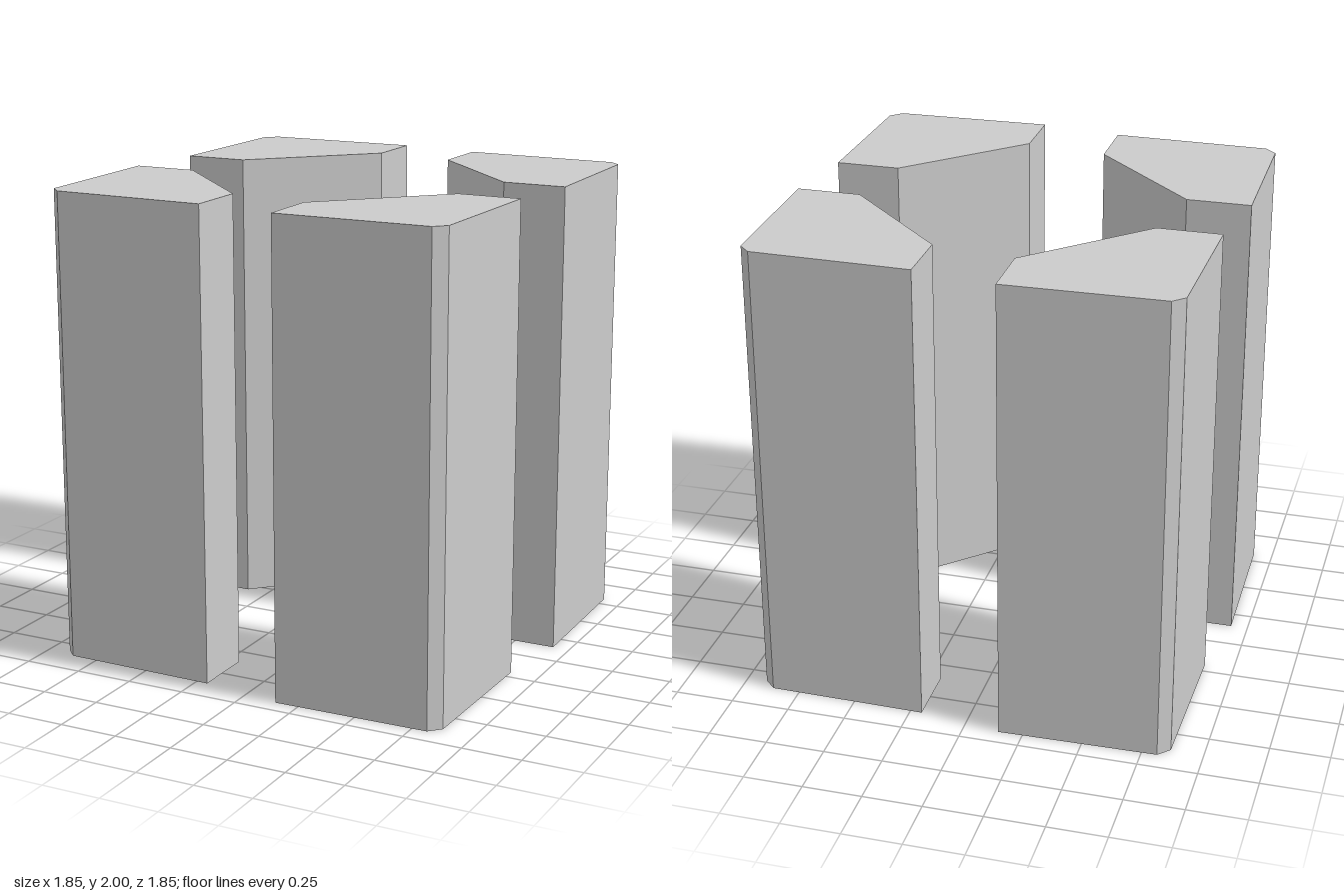
import * as THREE from 'three';

const HEIGHT = 2;

// Pillar footprint as (x, z): chamfered outer corner, diagonal inner face
const FOOTPRINT = [
  [0.605, 0.2], [0.875, 0.2], [0.863, 0.867],
  [0.815, 0.915], [0.148, 0.927], [0.148, 0.657],
];

export function createModel() {
  const model = new THREE.Group();
  model.name = 'pillarCluster';
  const material = new THREE.MeshStandardMaterial({ color: 0xcccccc, flatShading: true });

  // Extrude the footprint and stand it upright on the ground
  const shape = new THREE.Shape(FOOTPRINT.map(([x, z]) => new THREE.Vector2(x, -z)));
  const geometry = new THREE.ExtrudeGeometry(shape, { depth: HEIGHT, bevelEnabled: false });
  geometry.rotateX(-Math.PI / 2);

  // Four pillars, each a quarter turn around the centre
  ['frontLeftPillar', 'backLeftPillar', 'backRightPillar', 'frontRightPillar'].forEach((name, i) => {
    const pillar = new THREE.Mesh(geometry, material);
    pillar.name = name;
    pillar.rotation.y = i * Math.PI / 2;
    model.add(pillar);
  });

  return model;
}
